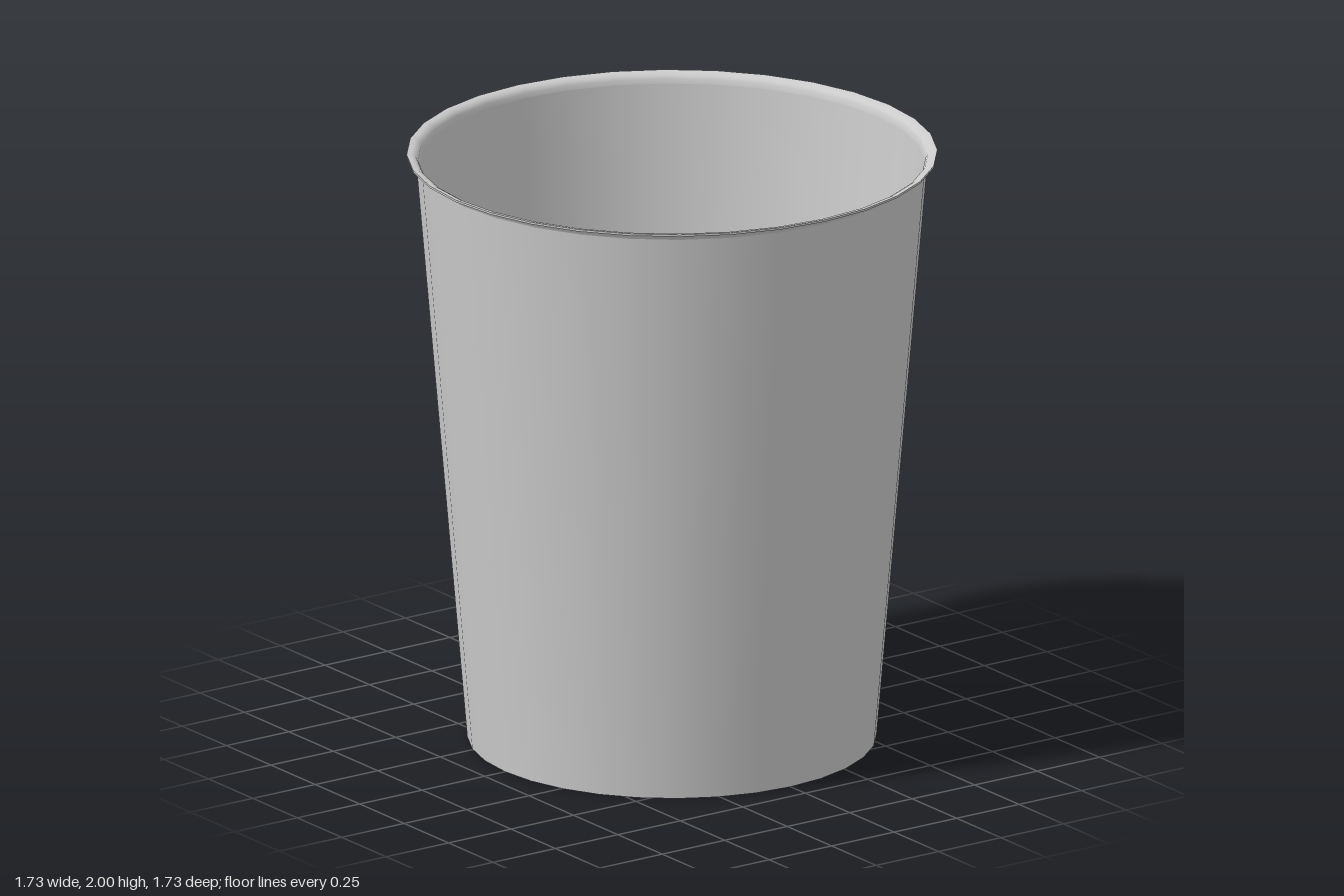
import * as THREE from 'three';

const SIDES = 32;

export function createModel() {
  const group = new THREE.Group();
  group.name = 'cup';
  const material = new THREE.MeshStandardMaterial({ color: 0xcccccc });

  // Revolves one stretch of the profile; separate stretches keep hard edges between them
  function addRing(name, profile) {
    const points = profile.map(([r, y]) => new THREE.Vector2(r, y));
    const mesh = new THREE.Mesh(new THREE.LatheGeometry(points, SIDES), material);
    mesh.name = name;
    group.add(mesh);
  }

  // Profile runs from the base centre, up the outside, over the rim and down the inside
  addRing('base', [[0, 0], [0.668, 0]]);
  addRing('outerWall', [[0.668, 0], [0.835, 1.972]]);
  addRing('rimUnderside', [[0.835, 1.972], [0.839, 1.982], [0.849, 1.989], [0.866, 1.993]]);
  addRing('rimEdge', [[0.866, 1.993], [0.866, 2]]);
  addRing('rimTop', [[0.866, 2], [0.849, 1.998], [0.836, 1.991], [0.829, 1.98], [0.826, 1.965]]);
  addRing('innerWall', [[0.826, 1.965], [0.665, 0.1]]);
  addRing('floorFillet', [[0.665, 0.1], [0.66, 0.088], [0.652, 0.082], [0.64, 0.08]]);
  addRing('floor', [[0.64, 0.08], [0, 0.08]]);

  return group;
}
